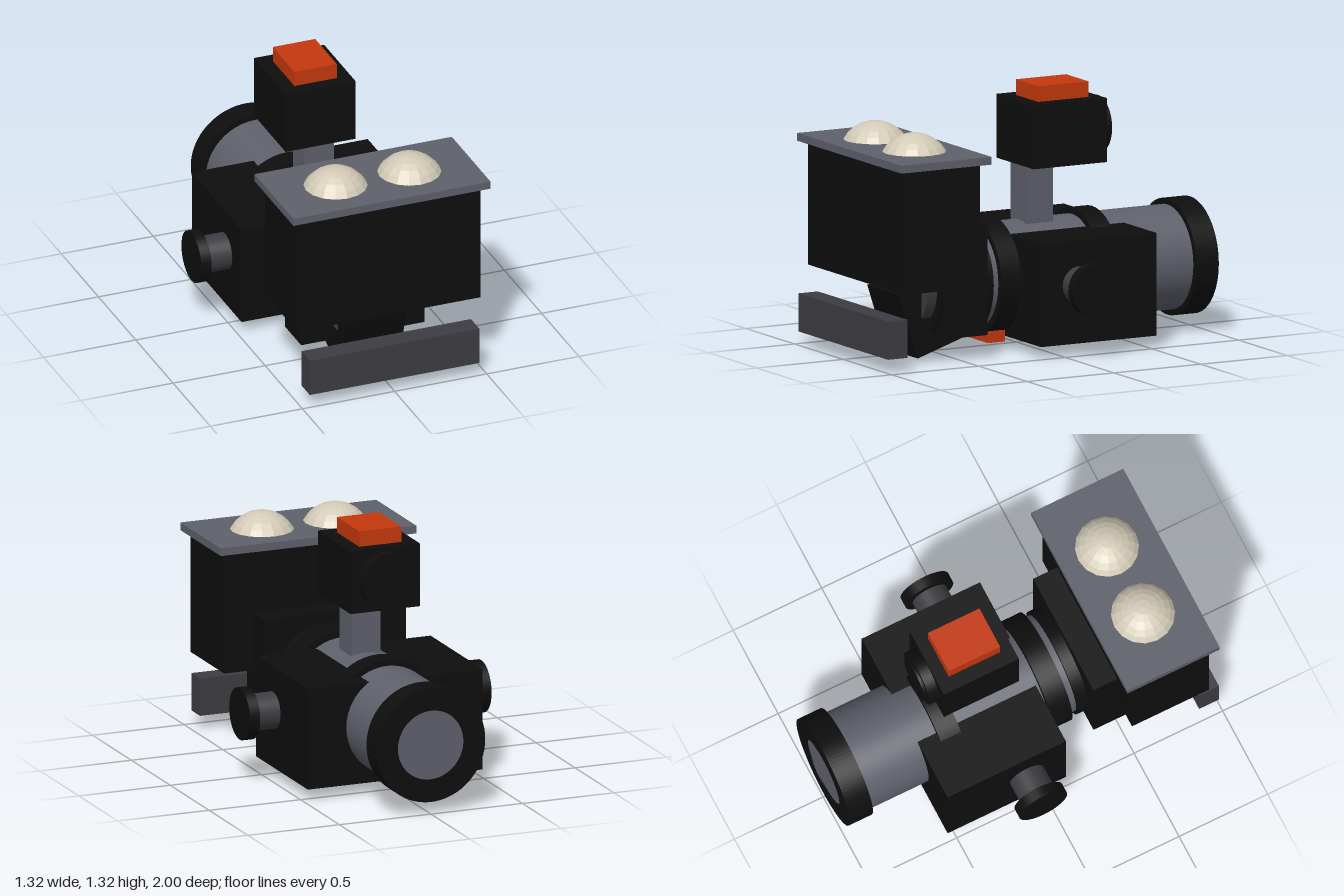
import * as THREE from 'three';

const mat = (name, color, extra = {}) => {
  const m = new THREE.MeshStandardMaterial({ color, ...extra });
  m.name = name;
  return m;
};

export function createModel() {
  const black = mat('black', 0x0e0e0e);
  const grey = mat('steel grey', 0x5e606b);
  const dark = mat('dark grey', 0x3d3c42);
  const orange = mat('orange', 0xc4380e);
  const cream = mat('cream', 0xd2cab6, { flatShading: true });

  const model = new THREE.Group();
  const add = (name, geometry, material, x = 0, y = 0, z = 0) => {
    const mesh = new THREE.Mesh(geometry, material);
    mesh.name = name;
    mesh.position.set(x, y, z);
    model.add(mesh);
    return mesh;
  };
  // box given by its limits on each axis
  const box = (name, m, x0, x1, y0, y1, z0, z1) => add(name,
    new THREE.BoxGeometry(x1 - x0, y1 - y0, z1 - z0), m,
    (x0 + x1) / 2, (y0 + y1) / 2, (z0 + z1) / 2);
  // cylinder lying along z
  const tubeZ = (name, m, r, y, z0, z1) => add(name,
    new THREE.CylinderGeometry(r, r, z1 - z0, 48).rotateX(Math.PI / 2), m, 0, y, (z0 + z1) / 2);

  const axisY = 0.36;

  // main barrel with its clamping bands
  tubeZ('barrel', grey, 0.267, axisY, -0.994, 0.32);
  tubeZ('frontBand', black, 0.3, axisY, 0.14, 0.255);
  tubeZ('rearBand', black, 0.298, axisY, -0.435, -0.32);

  // rear rim, open in the middle
  const rim = new THREE.Shape().absarc(0, 0, 0.297, 0, Math.PI * 2, false);
  rim.holes.push(new THREE.Path().absarc(0, 0, 0.18, 0, Math.PI * 2, true));
  add('rearRim', new THREE.ExtrudeGeometry(rim, { depth: 0.13, bevelEnabled: false, curveSegments: 48 }),
    black, 0, axisY, -1);

  // housing around the barrel and the feet below it
  box('housing', black, -0.477, 0.477, 0.06, 0.585, -0.54, 0.127);
  box('frontFoot', orange, -0.15, 0.15, 0.04, 0.1, 0.15, 0.25);
  box('rearFoot', orange, -0.15, 0.15, 0.04, 0.1, -0.425, -0.325);

  // side knobs
  for (const s of [1, -1]) {
    const knob = (name, m, r, x0, x1) => add(name,
      new THREE.CylinderGeometry(r, r, x1 - x0, 32).rotateZ(Math.PI / 2), m,
      s * (x0 + x1) / 2, axisY, -0.093);
    knob('knobShaft', dark, 0.095, 0.44, 0.61);
    knob('knobCap', black, 0.135, 0.605, 0.66);
  }

  // front collar, mounting block and lens
  tubeZ('collar', black, 0.286, axisY, 0.292, 0.585);
  box('mountingBlock', black, -0.335, 0.335, 0.12, 0.7, 0.355, 0.575);
  tubeZ('lens', dark, 0.227, axisY, 0.56, 0.64);

  // tilted block under the tank
  const tilted = add('tiltedBlock', new THREE.BoxGeometry(0.325, 0.353, 0.3), black, 0, 0.214, 0.573);
  tilted.rotation.x = 0.315;

  // upper case with lid and two domes
  box('upperCase', black, -0.497, 0.497, 0.4, 1.03, 0.49, 0.925);
  box('lid', grey, -0.535, 0.535, 1.03, 1.07, 0.445, 0.965);
  for (const x of [-0.2, 0.2]) {
    add('dome', new THREE.SphereGeometry(0.187, 16, 5, 0, Math.PI * 2, 0, 1.07), cream, x, 0.977, 0.703);
  }

  // front bar
  box('frontBar', dark, -0.46, 0.46, 0.07, 0.265, 0.888, 1);

  // sight head on its post
  box('sightPost', grey, -0.08, 0.08, 0.55, 0.915, -0.165, -0.01);
  box('sightHead', black, -0.19, 0.19, 0.913, 1.24, -0.415, 0.008);
  tubeZ('eyepieceRing', black, 0.145, 1.077, -0.47, -0.4);
  tubeZ('eyepiece', black, 0.115, 1.077, -0.485, -0.46);
  box('sightButton', orange, -0.115, 0.115, 1.24, 1.32, -0.35, -0.06);

  return model;
}
